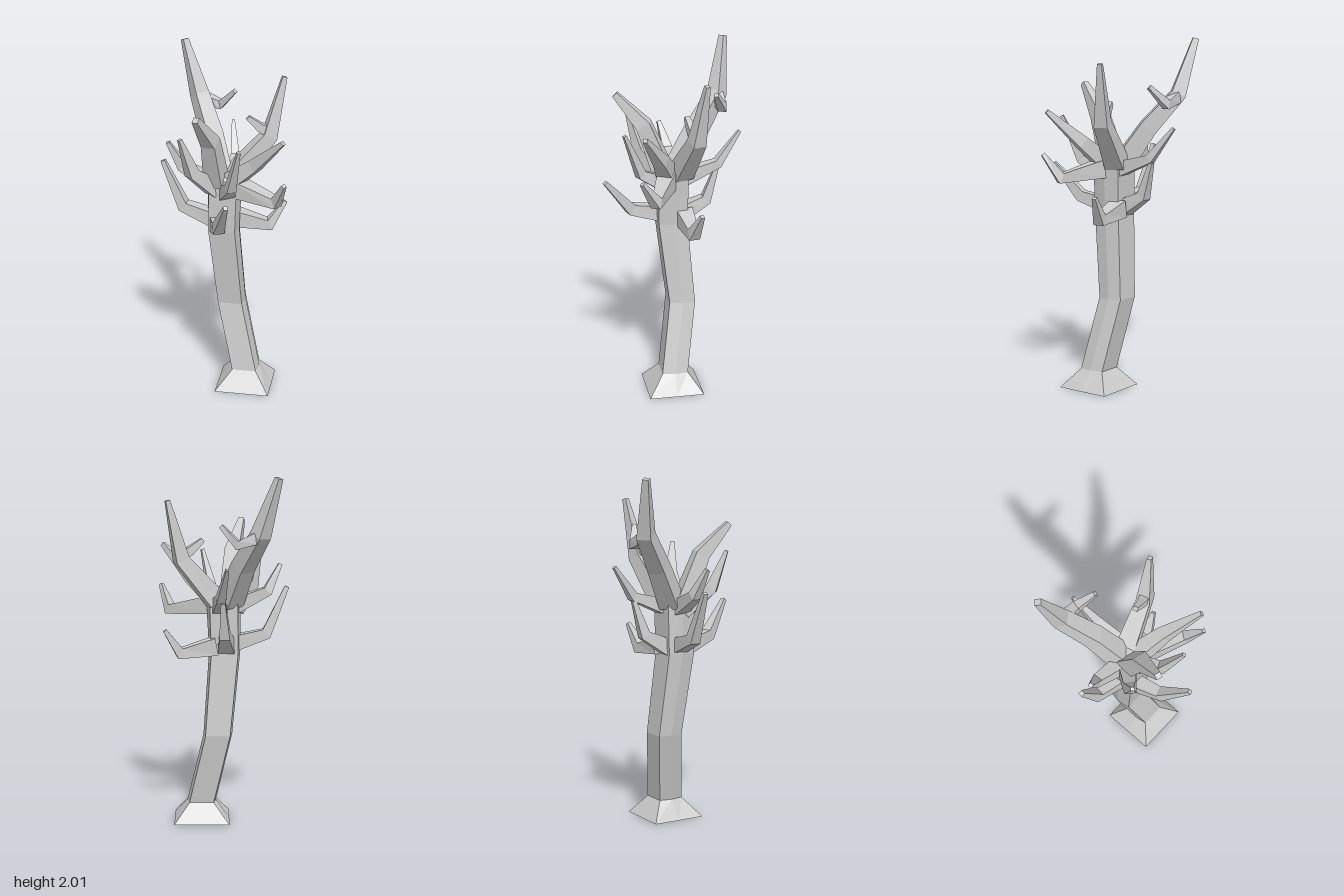
import * as THREE from 'three';

const material = new THREE.MeshStandardMaterial({ color: 0xcccccc, flatShading: true });

// Skin a list of equal-sized rings, with fan caps at both ends
function loft(name, rings) {
  const pos = [];
  const tri = (...pts) => pts.forEach((p) => pos.push(p.x, p.y, p.z));
  const n = rings[0].length;
  for (let r = 0; r < rings.length - 1; r++) {
    const lo = rings[r], hi = rings[r + 1];
    for (let i = 0; i < n; i++) {
      const j = (i + 1) % n;
      tri(lo[i], lo[j], hi[j]);
      tri(lo[i], hi[j], hi[i]);
    }
  }
  const first = rings[0], last = rings[rings.length - 1];
  for (let i = 1; i < n - 1; i++) {
    tri(first[0], first[i + 1], first[i]);
    tri(last[0], last[i], last[i + 1]);
  }
  const geo = new THREE.BufferGeometry();
  geo.setAttribute('position', new THREE.Float32BufferAttribute(pos, 3));
  geo.computeVertexNormals();
  const mesh = new THREE.Mesh(geo, material);
  mesh.name = name;
  return mesh;
}

// Six-sided trunk ring: flat front and back, ridge along each side
function trunkRing([y, cx, cz, hx, hz, corner]) {
  return [[corner, 1], [1, 0], [corner, -1], [-corner, -1], [-1, 0], [-corner, 1]]
    .map(([x, z]) => new THREE.Vector3(cx + x * hx, y, cz + z * hz));
}

// Square, tapering branch: each point is [x, y, z, half width]
function branch(name, points) {
  const p = points.map(([x, y, z]) => new THREE.Vector3(x, y, z));
  const end = p.length - 1;
  const heading = p[end].clone().sub(p[0]).setY(0).normalize();
  const across = new THREE.Vector3(0, 1, 0).cross(heading);
  const rings = p.map((c, i) => {
    const t = new THREE.Vector3();
    if (i > 0) t.add(c.clone().sub(p[i - 1]).normalize());
    if (i < end) t.add(p[i + 1].clone().sub(c).normalize());
    t.normalize();
    const u = across.clone().addScaledVector(t, -across.dot(t)).normalize();
    const v = t.clone().cross(u);
    const h = points[i][3];
    return [[1, 1], [-1, 1], [-1, -1], [1, -1]].map(([a, b]) =>
      c.clone().addScaledVector(u, a * h).addScaledVector(v, b * h));
  });
  return loft(name, rings);
}

export function createModel() {
  const tree = new THREE.Group();
  tree.name = 'bareTree';

  // Flared foot and bent trunk: y, centre x, centre z, half x, half z, corner ratio
  tree.add(loft('trunk', [
    [0, 0.123, 0.02, 0.16, 0.16, 1],
    [0.11, 0.125, 0.017, 0.083, 0.075, 0.85],
    [0.52, 0.03, -0.043, 0.083, 0.075, 0.85],
    [1.0, -0.01, 0.005, 0.09, 0.083, 0.85],
    [1.31, -0.003, 0.005, 0.1, 0.088, 0.8],
    [1.34, 0.01, 0.005, 0.06, 0.055, 0.8],
  ].map(trunkRing)));

  // Main limbs splitting from the crown, with their forks
  const limbs = {
    tallLimb: [[-0.04, 1.29, -0.035, 0.058], [-0.11, 1.5, -0.16, 0.05], [-0.205, 1.69, -0.3, 0.042], [-0.3, 2.0, -0.352, 0.017]],
    tallLimbFork: [[-0.18, 1.67, -0.3, 0.032], [-0.08, 1.635, -0.305, 0.025], [0.01, 1.735, -0.25, 0.012]],
    rearLeftLimb: [[0.04, 1.3, -0.045, 0.056], [0.235, 1.535, -0.095, 0.04], [0.31, 1.87, -0.135, 0.013]],
    rearLeftLimbFork: [[0.235, 1.56, -0.09, 0.028], [0.185, 1.585, -0.078, 0.024], [0.115, 1.645, -0.06, 0.013]],
    frontLimb: [[-0.045, 1.29, 0.045, 0.056], [-0.06, 1.56, 0.15, 0.042], [-0.112, 1.735, 0.305, 0.017]],
    frontLeftLimb: [[0.04, 1.3, 0.035, 0.05], [0.18, 1.42, 0.095, 0.036], [0.35, 1.6, 0.21, 0.012]],
  };

  // Smaller boughs growing out of the upper trunk
  const boughs = {
    upperLeftBough: [[0.04, 1.27, 0.03, 0.055], [0.31, 1.225, 0.145, 0.03], [0.362, 1.36, 0.23, 0.011]],
    upperFrontBough: [[0.01, 1.23, 0.05, 0.045], [0.06, 1.31, 0.19, 0.027], [0.12, 1.56, 0.288, 0.009]],
    upperFrontRightBough: [[-0.06, 1.25, 0.04, 0.05], [-0.165, 1.375, 0.155, 0.033], [-0.218, 1.59, 0.22, 0.01]],
    upperRightBough: [[-0.06, 1.26, 0, 0.045], [-0.255, 1.35, -0.015, 0.028], [-0.328, 1.5, 0.02, 0.011]],
    upperRearBough: [[0.02, 1.26, -0.04, 0.045], [0.012, 1.335, -0.26, 0.025], [-0.022, 1.51, -0.395, 0.009]],
    lowerLeftBough: [[0.04, 1.04, -0.06, 0.05], [0.245, 1.0, -0.08, 0.032], [0.33, 1.135, -0.11, 0.011]],
    lowerFrontBough: [[-0.04, 1.035, 0.05, 0.045], [0, 1.085, 0.24, 0.032], [0.066, 1.275, 0.393, 0.012]],
    lowerRightBough: [[-0.06, 1.045, 0, 0.045], [-0.25, 1.105, -0.02, 0.032], [-0.366, 1.375, -0.018, 0.013]],
    lowerRearBough: [[-0.02, 1.03, -0.04, 0.05], [-0.01, 1.115, -0.2, 0.03], [0, 1.31, -0.26, 0.012]],
  };

  for (const [name, points] of Object.entries({ ...limbs, ...boughs })) tree.add(branch(name, points));
  return tree;
}
